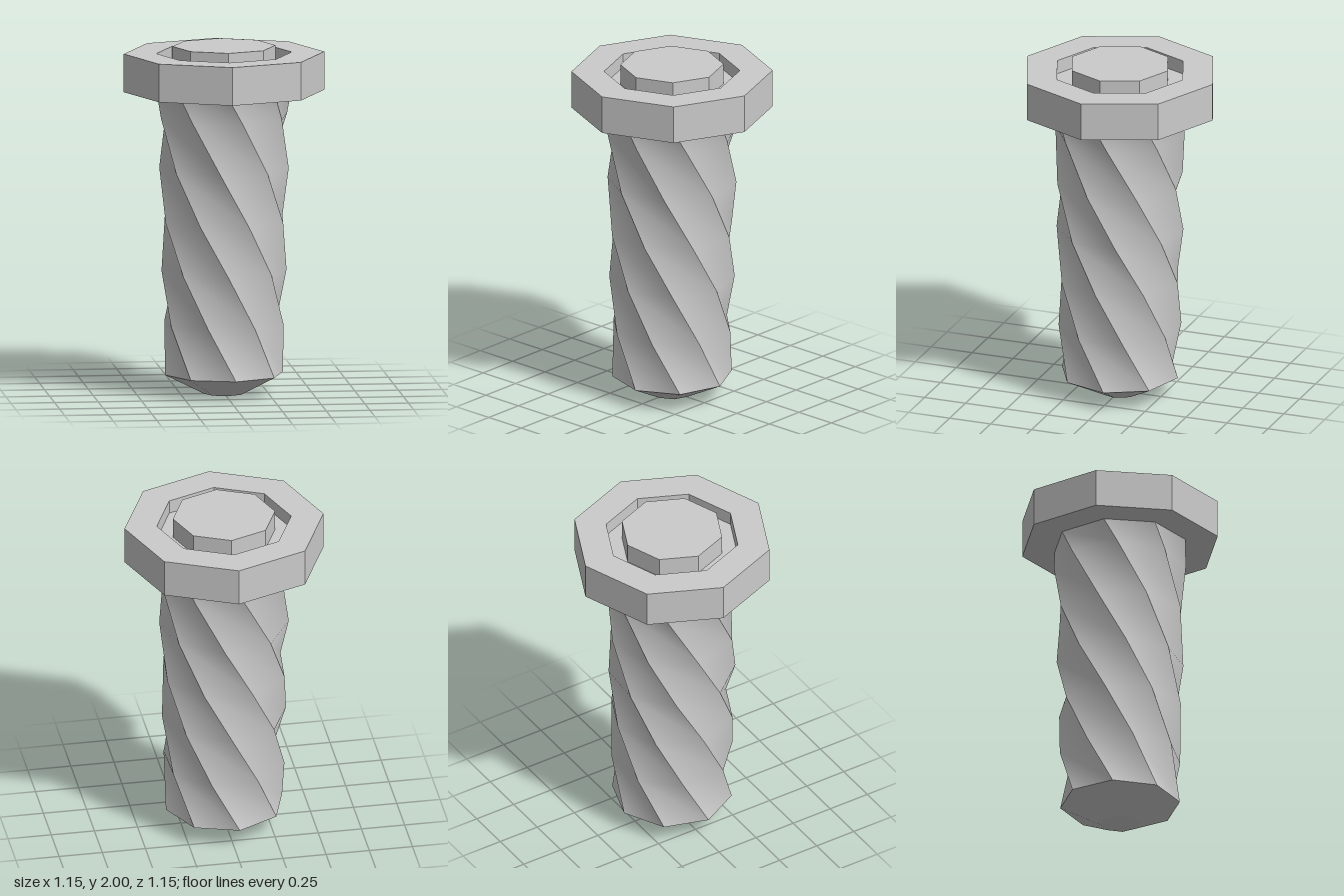
import * as THREE from 'three';

const SIDES = 8;
const rad = THREE.MathUtils.degToRad;

// Eight-sided turned part; phase turns its corners from +x towards +z
function octagonal(name, profile, phase) {
  const points = profile.map(([r, y]) => new THREE.Vector2(r, y));
  const mesh = new THREE.Mesh(
    new THREE.LatheGeometry(points, SIDES),
    new THREE.MeshStandardMaterial({ color: 0xcccccc, flatShading: true })
  );
  mesh.name = name;
  mesh.rotation.y = -rad(phase);
  return mesh;
}

// Twisted shaft: eight strips, smooth along their length and creased between
function twistedShaft(rings) {
  const positions = [], indices = [];
  for (let k = 0; k < SIDES; k++) {
    const base = positions.length / 3;
    rings.forEach(([y, r, phase], i) => {
      for (const side of [0, 1]) {
        const a = rad(phase + (k + side) * 360 / SIDES);
        positions.push(r * Math.cos(a), y, r * Math.sin(a));
      }
      if (i === 0) return;
      const a0 = base + (i - 1) * 2, b0 = a0 + 1, a1 = a0 + 2, b1 = a0 + 3;
      indices.push(b0, a0, b1, a0, a1, b1);
    });
  }
  const geometry = new THREE.BufferGeometry();
  geometry.setAttribute('position', new THREE.Float32BufferAttribute(positions, 3));
  geometry.setIndex(indices);
  geometry.computeVertexNormals();
  const mesh = new THREE.Mesh(geometry, new THREE.MeshStandardMaterial({ color: 0xcccccc }));
  mesh.name = 'twistedShaft';
  return mesh;
}

export function createModel() {
  const group = new THREE.Group();
  group.name = 'bolt';

  // Shaft rings: height, radius, twist in degrees
  group.add(twistedShaft([
    [0.115, 0.343, -5], [0.41, 0.35, 21], [0.71, 0.357, 47], [1.0, 0.362, 73],
    [1.3, 0.369, 99], [1.6, 0.375, 125], [1.74, 0.385, 136.7],
  ]));

  // Blunt bevelled tip
  group.add(octagonal('tip', [[0, 0], [0.115, 0], [0.343, 0.115]], -5));

  // Flange with a sunken groove around a raised centre
  group.add(octagonal('head', [
    [0.385, 1.74], [0.573, 1.74], [0.573, 1.96], [0.387, 1.96],
    [0.387, 1.88], [0.294, 1.88], [0.294, 2], [0, 2],
  ], 1.7));

  return group;
}
